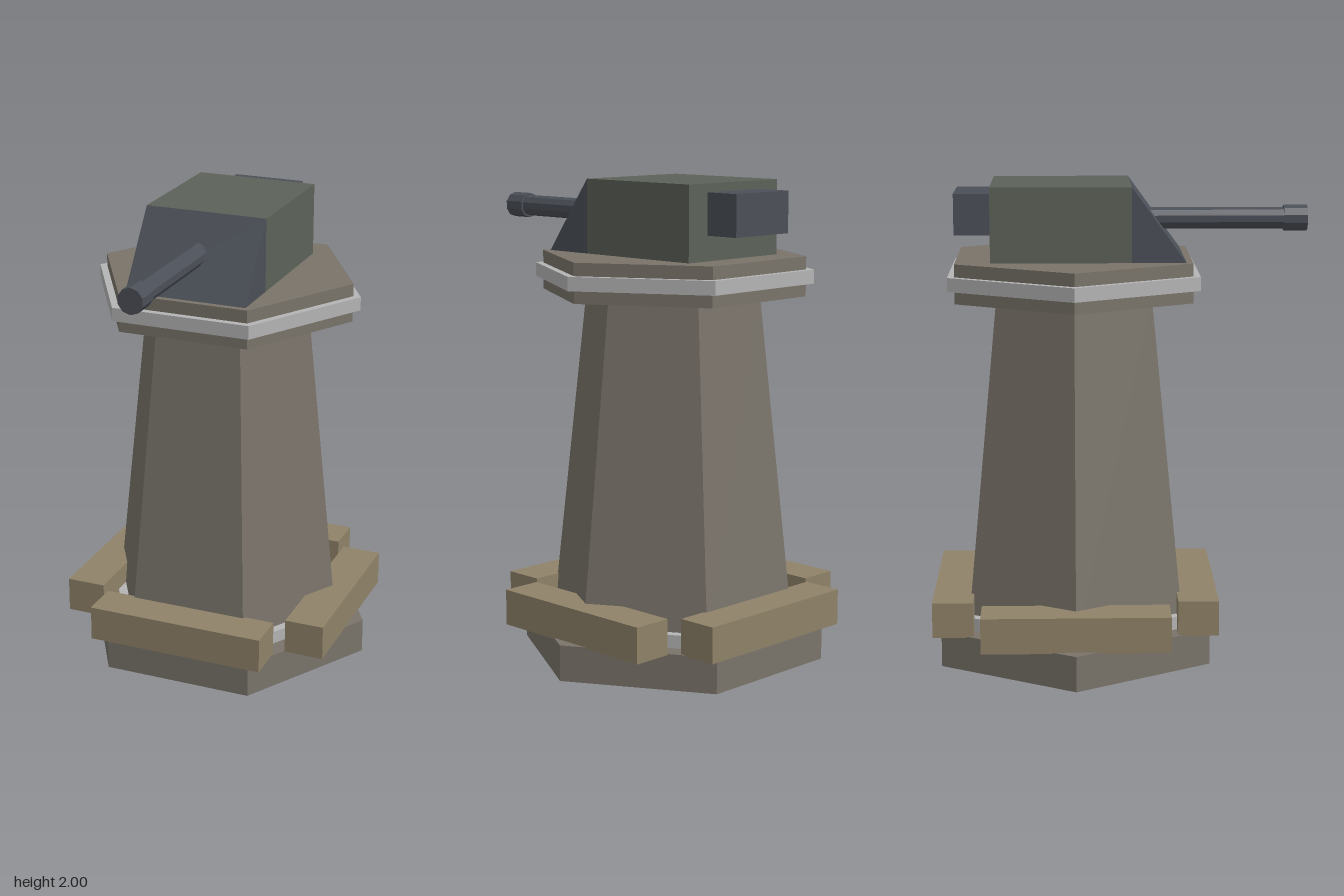
import * as THREE from 'three';

const CZ = -0.19; // tower axis

const mat = (color) => new THREE.MeshStandardMaterial({ color, flatShading: true });
const stone = mat(0x79736a);
const steel = mat(0xb4b4b4);
const sand = mat(0x8f8268);
const armour = mat(0x5c6258);
const gunmetal = mat(0x4b4f57);

export function createModel() {
  const group = new THREE.Group();

  const add = (name, geometry, material, x = 0, y = 0, z = 0) => {
    const mesh = new THREE.Mesh(geometry, material);
    mesh.name = name;
    mesh.position.set(x, y, z);
    group.add(mesh);
    return mesh;
  };

  // Six-sided slab with corners on the x axis
  const hex = (name, rTop, rBottom, y0, y1, material) => {
    const g = new THREE.CylinderGeometry(rTop, rBottom, y1 - y0, 6).rotateY(Math.PI / 6);
    return add(name, g, material, 0, (y0 + y1) / 2, CZ);
  };

  // Tower
  hex('base', 0.65, 0.65, 0, 0.15, stone);
  hex('baseBand', 0.56, 0.56, 0.15, 0.205, steel);
  hex('column', 0.37, 0.522, 0.15, 1.535, stone);
  hex('platform', 0.56, 0.56, 1.53, 1.693, stone);

  // Steel band around the platform
  hex('platformBand', 0.593, 0.593, 1.583, 1.64, steel);

  // Barricade blocks around the foot
  for (const s of [-1, 1]) {
    add(s > 0 ? 'frontBarricade' : 'backBarricade',
      new THREE.BoxGeometry(0.775, 0.15, 0.17), sand, 0, 0.22, CZ + s * 0.511);
    add(s > 0 ? 'leftBarricade' : 'rightBarricade',
      new THREE.BoxGeometry(0.17, 0.15, 0.775), sand, s * 0.511, 0.22, CZ);
  }

  // Turret housing
  add('turretBody', new THREE.BoxGeometry(0.524, 0.31, 0.575), armour, 0, 1.845, -0.2425);

  // Sloped front plate: triangle in z and y, swept across x
  const slope = new THREE.Shape([
    new THREE.Vector2(0.045, 1.69),
    new THREE.Vector2(0.27, 1.69),
    new THREE.Vector2(0.045, 2.0),
  ]);
  const wedge = new THREE.ExtrudeGeometry(slope, { depth: 0.524, bevelEnabled: false });
  wedge.rotateY(-Math.PI / 2).translate(0.262, 0, 0);
  add('turretFront', wedge, gunmetal);

  add('rearBox', new THREE.BoxGeometry(0.31, 0.17, 0.16), gunmetal, 0, 1.88, -0.602);

  // Gun
  const tube = (name, r, z0, z1) => add(name,
    new THREE.CylinderGeometry(r, r, z1 - z0, 10).rotateX(Math.PI / 2),
    gunmetal, 0, 1.847, (z0 + z1) / 2);
  tube('barrel', 0.045, 0.06, 0.7);
  tube('muzzle', 0.054, 0.687, 0.785);

  return group;
}
